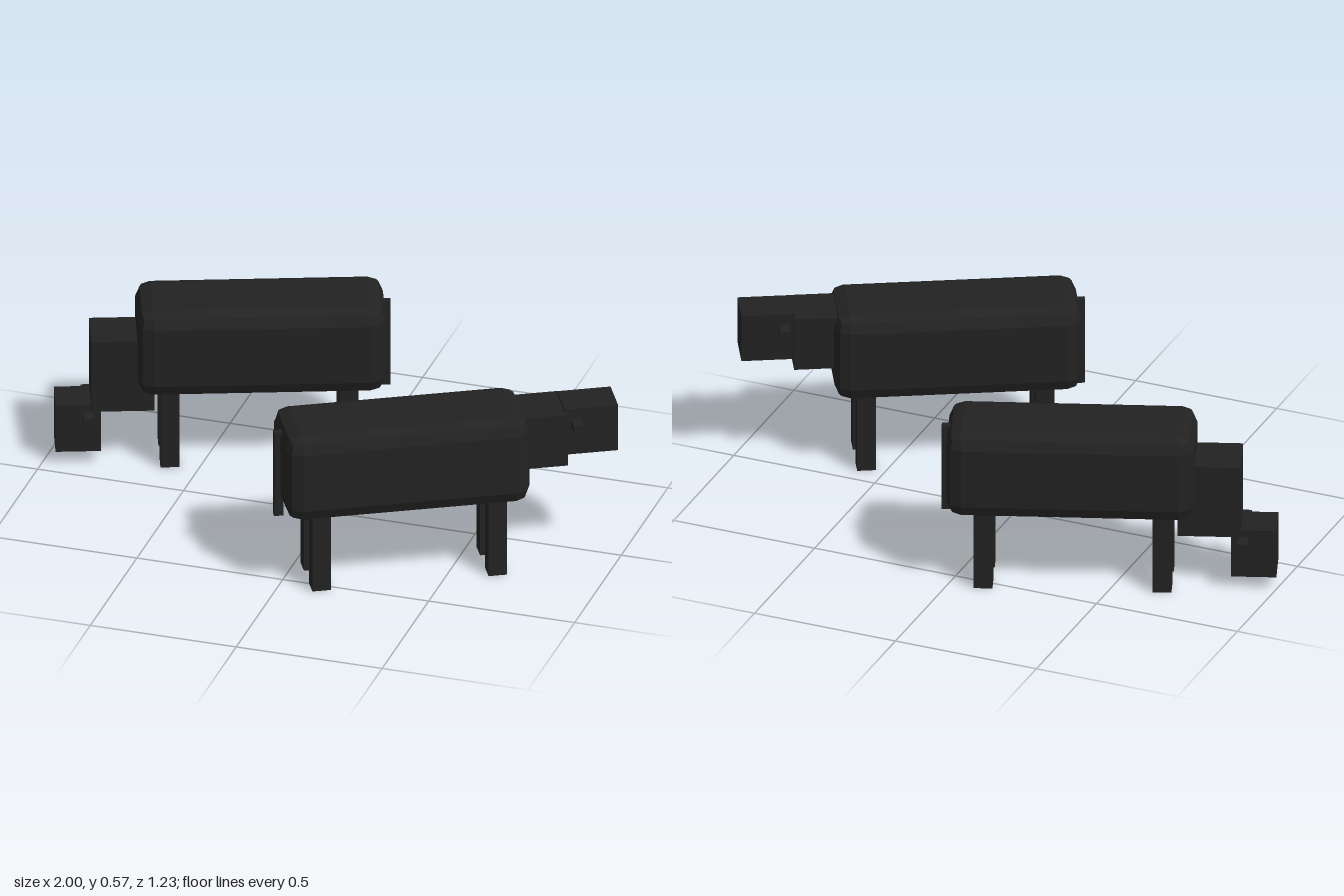
import * as THREE from 'three';
import { RoundedBoxGeometry } from 'three/addons/geometries/RoundedBoxGeometry.js';

const hide = new THREE.MeshStandardMaterial({ color: 0x222222, flatShading: true });
hide.name = 'dark hide';

function add(parent, name, geometry, x, y, z) {
  const mesh = new THREE.Mesh(geometry, hide);
  mesh.name = name;
  mesh.position.set(x, y, z);
  parent.add(mesh);
}

// box given by its range along the animal (x), its height range (y) and its centred width (z)
function block(parent, name, [x0, x1], [y0, y1], width, z = 0) {
  const geometry = new THREE.BoxGeometry(x1 - x0, y1 - y0, width);
  add(parent, name, geometry, (x0 + x1) / 2, (y0 + y1) / 2, z);
}

// one cow, built facing +x
function cow(name, { neck, head, ears }) {
  const g = new THREE.Group();
  g.name = name;

  // bevelled barrel of the body
  add(g, 'body', new RoundedBoxGeometry(0.81, 0.305, 0.305, 1, 0.05), 0, 0.4225, 0);

  // four square legs
  for (const [end, x] of [['front', 0.3], ['back', -0.285]])
    for (const [side, z] of [['Left', -0.075], ['Right', 0.075]])
      block(g, end + side + 'Leg', [x - 0.031, x + 0.031], [0, 0.3], 0.062, z);

  // neck, head, and the ears as one bar through the head
  block(g, 'neck', neck.x, neck.y, 0.175);
  block(g, 'head', head.x, head.y, 0.135);
  block(g, 'ears', ears.x, ears.y, 0.248);

  // hanging tail
  block(g, 'tail', [-0.425, -0.395], [0.24, 0.545], 0.025);
  return g;
}

export function createModel() {
  const model = new THREE.Group();
  model.name = 'cows';

  // head lowered to the grass
  const grazing = cow('grazingCow', {
    neck: { x: [0.35, 0.556], y: [0.2, 0.455] },
    head: { x: [0.524, 0.672], y: [0.045, 0.215] },
    ears: { x: [0.547, 0.582], y: [0.165, 0.192] },
  });
  grazing.position.set(-0.3475, 0, -0.3475);
  grazing.rotation.y = THREE.MathUtils.degToRad(200.2);

  // head held level
  const standing = cow('standingCow', {
    neck: { x: [0.34, 0.536], y: [0.372, 0.557] },
    head: { x: [0.53, 0.707], y: [0.402, 0.567] },
    ears: { x: [0.55, 0.585], y: [0.505, 0.531] },
  });
  standing.position.set(0.3455, 0, 0.3075);
  standing.rotation.y = THREE.MathUtils.degToRad(28.4);

  model.add(grazing, standing);
  return model;
}
